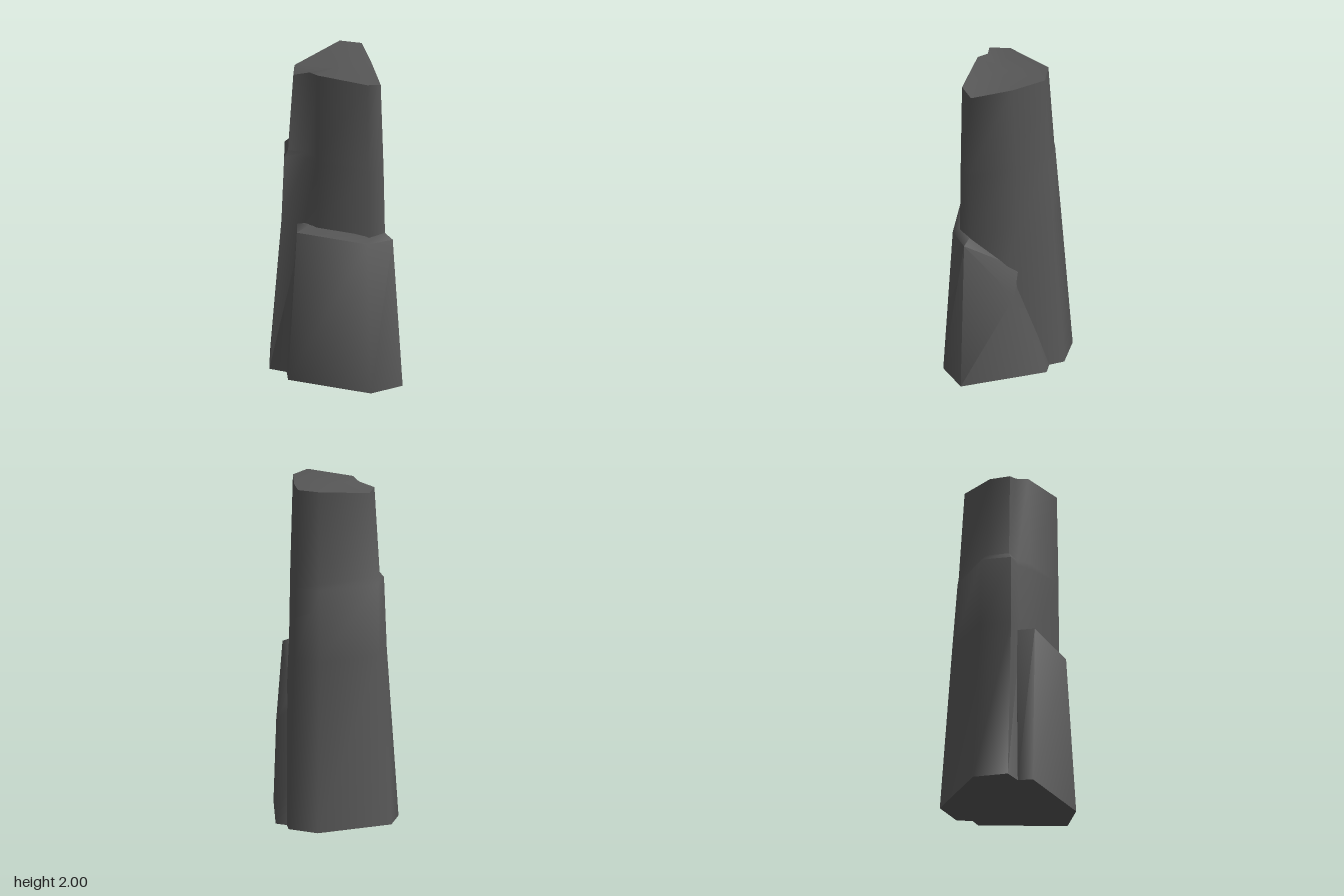
import * as THREE from 'three';
import { toCreasedNormals } from 'three/addons/utils/BufferGeometryUtils.js';

// Closed solid through stacked loops of [x, y, z] corners, ordered back, +x, front, -x
function loft(loops, crease) {
  const n = loops[0].length, pos = [], idx = [];
  loops.forEach(loop => loop.forEach(p => pos.push(...p)));
  for (let r = 0; r < loops.length - 1; r++) {
    for (let i = 0; i < n; i++) {
      const j = (i + 1) % n;
      const a = r * n + i, b = r * n + j, c = a + n, d = b + n;
      idx.push(a, c, b, b, c, d);
    }
  }
  // End caps fan out from the middle of the first and last loops
  [0, loops.length - 1].forEach((r, top) => {
    const mid = [0, 1, 2].map(k => loops[r].reduce((s, p) => s + p[k], 0) / n);
    const m = pos.length / 3;
    pos.push(...mid);
    for (let i = 0; i < n; i++) {
      const a = r * n + i, b = r * n + (i + 1) % n;
      if (top) idx.push(m, b, a);
      else idx.push(m, a, b);
    }
  });
  const g = new THREE.BufferGeometry();
  g.setAttribute('position', new THREE.Float32BufferAttribute(pos, 3));
  g.setIndex(idx);
  return toCreasedNormals(g, crease);
}

// Horizontal loop from x, z pairs
const level = (y, pts) => pts.map(([x, z]) => [x, y, z]);

export function createModel() {
  const group = new THREE.Group();
  group.name = 'rockPillar';
  const stone = new THREE.MeshStandardMaterial({ color: 0x575757 });
  stone.name = 'dark stone';

  const add = (name, loops) => {
    const mesh = new THREE.Mesh(loft(loops, 1.3), stone);
    mesh.name = name;
    group.add(mesh);
  };

  // Tall tapering column with a narrow ledge on its -x side and an uneven, slightly dished top
  add('mainColumn', [
    level(0, [[-0.07, -0.365], [0.12, -0.33], [0.21, -0.13], [0.34, 0.16], [0.24, 0.29],
      [-0.1, 0.23], [-0.2, 0.205], [-0.385, 0.165], [-0.41, -0.04]]),
    level(1, [[-0.055, -0.295], [0.11, -0.265], [0.205, -0.06], [0.295, 0.205], [0.21, 0.268],
      [-0.1, 0.215], [-0.18, 0.17], [-0.315, 0.16], [-0.33, -0.025]]),
    level(1.42, [[-0.045, -0.265], [0.105, -0.245], [0.197, -0.05], [0.287, 0.203], [0.206, 0.264],
      [-0.1, 0.205], [-0.17, 0.15], [-0.3, 0.155], [-0.322, -0.02]]),
    level(1.455, [[-0.04, -0.26], [0.105, -0.243], [0.197, -0.05], [0.286, 0.203], [0.206, 0.264],
      [-0.1, 0.203], [-0.165, 0.143], [-0.28, 0.135], [-0.295, 0]]),
    [[-0.03, 2, -0.227], [0.1, 2, -0.217], [0.183, 1.98, -0.035], [0.27, 1.975, 0.2], [0.2, 2, 0.257],
      [-0.1, 2, 0.187], [-0.155, 1.985, 0.133], [-0.25, 1.96, 0.13], [-0.26, 1.955, 0.01]],
  ]);

  // Half-height slab on the front, its shoulder sloping down towards the back
  add('frontSlab', [
    level(0, [[0.23, -0.235], [0.405, 0.25], [0.235, 0.363], [-0.26, 0.275], [-0.28, 0.19], [0.09, -0.255]]),
    [[0.287, 0.575, -0.053], [0.345, 0.965, 0.235], [0.21, 0.965, 0.31],
      [-0.21, 0.985, 0.268], [-0.225, 0.985, 0.16], [0.1, 0.6, -0.085]],
    [[0.2, 0.72, -0.07], [0.275, 1, 0.195], [0.19, 1, 0.25],
      [-0.15, 1, 0.195], [-0.18, 1, 0.14], [0.1, 0.72, -0.07]],
  ]);

  return group;
}
